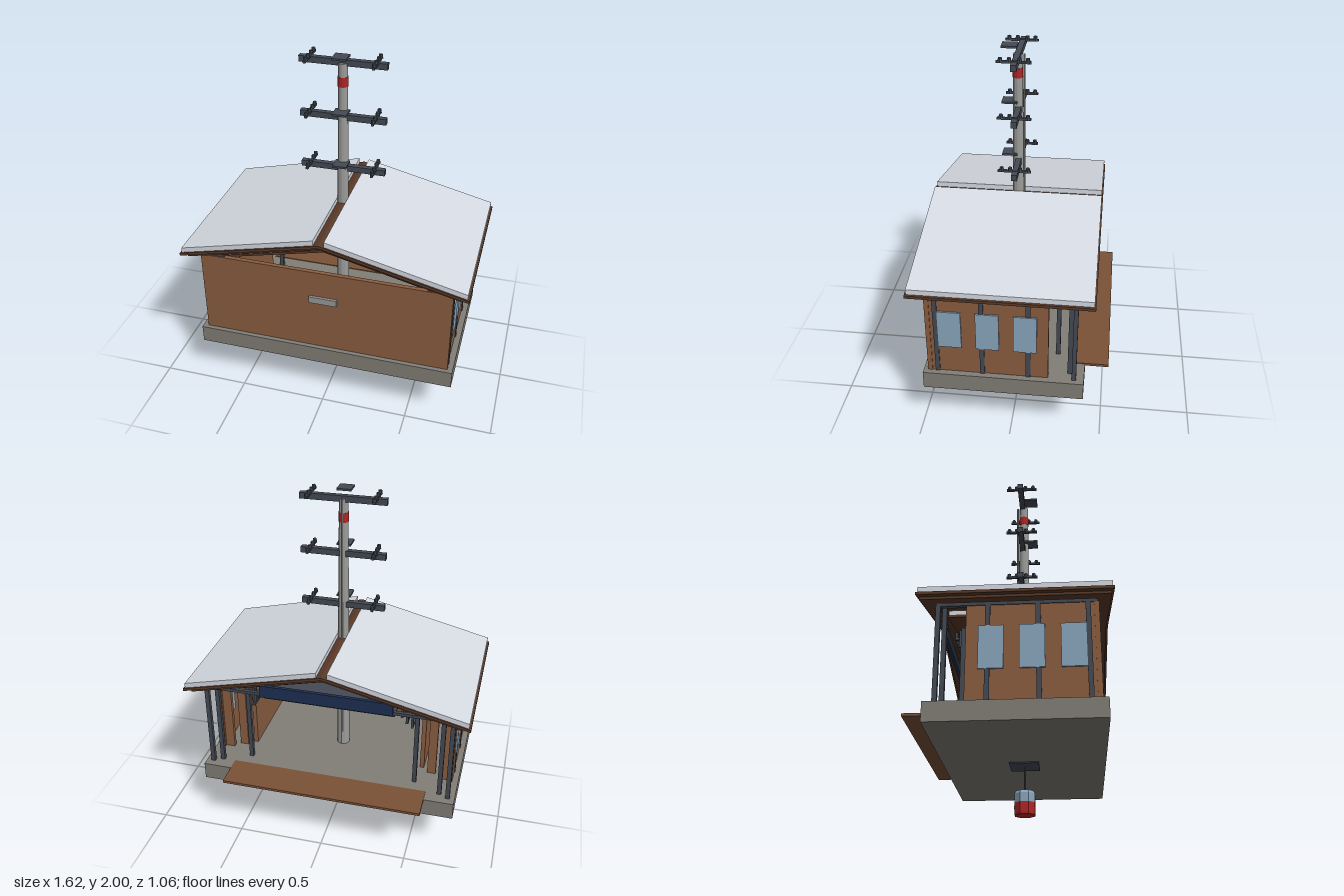
import * as THREE from 'three';

const mat = (color) => new THREE.MeshStandardMaterial({ color, flatShading: true });
const M = {
  concrete: mat(0x827e77), wood: mat(0x8b5e40), deck: mat(0x7a5236), darkWood: mat(0x5a3a28),
  steel: mat(0x444a54), glass: mat(0x8aa6be), panel: mat(0xd8dce4), mast: mat(0x9c9c9a),
  red: mat(0xb02525), navy: mat(0x1e2f52), sign: mat(0x9a9a9c),
};

export function createModel() {
  const root = new THREE.Group();

  const add = (name, geo, m, x, y, z, parent = root) => {
    const mesh = new THREE.Mesh(geo, m);
    mesh.name = name;
    mesh.position.set(x, y, z);
    parent.add(mesh);
    return mesh;
  };
  // Box given by its limits on each axis
  const box = (name, m, [x0, x1], [y0, y1], [z0, z1], parent = root) =>
    add(name, new THREE.BoxGeometry(x1 - x0, y1 - y0, z1 - z0), m,
      (x0 + x1) / 2, (y0 + y1) / 2, (z0 + z1) / 2, parent);
  // Box mirrored to both sides of x = 0
  const pair = (name, m, [x0, x1], y, z) => {
    box(name + 'Left', m, [x0, x1], y, z);
    box(name + 'Right', m, [-x1, -x0], y, z);
  };
  const cyl = (name, m, rTop, rBottom, y0, y1, x, z, sides = 12, parent = root) =>
    add(name, new THREE.CylinderGeometry(rTop, rBottom, y1 - y0, sides), m, x, (y0 + y1) / 2, z, parent);
  // Sloped roof layer on both sides, between x0 and x1, with its top at y0 and y1
  const slope = (name, m, x0, x1, y0, y1, thick, z0, z1) => {
    for (const s of [1, -1]) {
      const shape = new THREE.Shape([
        new THREE.Vector2(s * x0, y0), new THREE.Vector2(s * x1, y1),
        new THREE.Vector2(s * x1, y1 - thick), new THREE.Vector2(s * x0, y0 - thick),
      ]);
      const geo = new THREE.ExtrudeGeometry(shape, { depth: z1 - z0, bevelEnabled: false });
      add(name + (s > 0 ? 'Left' : 'Right'), geo, m, 0, 0, z0);
    }
  };

  // Foundation and rear deck
  box('foundation', M.concrete, [-0.75, 0.75], [0.272, 0.375], [-0.4, 0.48]);
  box('rearDeck', M.deck, [-0.58, 0.58], [0.365, 0.38], [-0.53, -0.33]);

  // Walls
  box('frontWall', M.wood, [-0.72, 0.72], [0.375, 0.89], [0.43, 0.455]);
  pair('sideWall', M.wood, [0.69, 0.715], [0.375, 0.89], [-0.205, 0.43]);
  pair('innerWall', M.wood, [0.51, 0.535], [0.375, 0.87], [-0.11, 0.43]);
  pair('rearPanelInner', M.wood, [0.56, 0.61], [0.375, 0.87], [-0.15, -0.125]);
  pair('rearPanelOuter', M.wood, [0.635, 0.69], [0.375, 0.87], [-0.19, -0.165]);
  box('frontPlaque', M.sign, [-0.08, 0.08], [0.69, 0.73], [0.455, 0.47]);

  // Side windows and columns
  for (const z of [0.325, 0.122, -0.08])
    pair('window', M.glass, [0.685, 0.724], [0.545, 0.775], [z - 0.0625, z + 0.0625]);
  for (const z of [0.4, 0.153, -0.097])
    pair('sideColumn', M.steel, [0.695, 0.721], [0.375, 0.905], [z - 0.0125, z + 0.0125]);

  // Rear posts
  pair('porchPostInner', M.steel, [0.488, 0.512], [0.375, 0.87], [-0.257, -0.233]);
  pair('porchPostMiddle', M.steel, [0.645, 0.67], [0.375, 0.91], [-0.332, -0.308]);
  pair('porchPostOuter', M.steel, [0.697, 0.722], [0.375, 0.91], [-0.358, -0.334]);

  // Top beams
  pair('sideBeam', M.steel, [0.695, 0.72], [0.89, 0.908], [-0.358, 0.44]);
  box('rearBeam', M.steel, [-0.72, 0.72], [0.89, 0.908], [-0.355, -0.335]);
  pair('frontBeam', M.steel, [0.58, 0.72], [0.89, 0.906], [0.43, 0.45]);

  // Main roof: light panels over two dark boards, with an open ridge
  slope('roofPanel', M.panel, 0.03, 0.8, 1.145, 0.96, 0.03, -0.44, 0.522);
  slope('roofBoard', M.darkWood, 0, 0.81, 1.122, 0.928, 0.016, -0.447, 0.53);
  slope('roofRafter', M.darkWood, 0, 0.765, 1.106, 0.922, 0.014, -0.435, 0.518);

  // Lower roof inside the gable
  slope('lowerRoofPanel', M.panel, 0.015, 0.66, 1.052, 0.895, 0.026, -0.3, 0.42);
  slope('lowerRoofBoard', M.darkWood, 0, 0.665, 1.028, 0.869, 0.014, -0.305, 0.425);

  // Rear fascia panel, hanging ceiling plate and pipe frames
  box('rearFascia', M.navy, [-0.38, 0.38], [0.895, 0.97], [-0.375, -0.355]);
  box('ceilingPlate', M.steel, [-0.38, 0.38], [0.84, 0.852], [-0.3, 0.16]);
  [[0.42, 0.85, -0.3], [0.445, 0.795, -0.275], [0.47, 0.745, -0.24]].forEach(([x, y, z]) => {
    pair('pipeRail', M.steel, [x - 0.007, x + 0.007], [y - 0.007, y + 0.007], [z, 0.15]);
    pair('pipeDrop', M.steel, [x - 0.007, x + 0.007], [y, 0.885], [z, z + 0.014]);
  });

  // Tapered mast with red band and side conduit
  const mz = 0.04;
  cyl('mast', M.mast, 0.026, 0.039, 0.375, 1.95, 0, mz);
  cyl('mastBand', M.red, 0.029, 0.029, 1.822, 1.875, 0, mz);
  cyl('mastConduit', M.mast, 0.006, 0.006, 0.375, 1.95, 0, 0.004, 6);

  // Crossarms with insulator bars and a small platform
  for (const y of [1.952, 1.643, 1.335, 1.025]) {
    const arm = new THREE.Group();
    arm.name = 'crossarm';
    arm.position.y = y;
    root.add(arm);
    box('beam', M.steel, [-0.24, 0.24], [-0.017, 0.017], [0.018, 0.05], arm);
    box('platform', M.steel, [-0.04, 0.04], [0.037, 0.048], [0.04, 0.125], arm);
    for (const x of [-0.183, 0.183]) {
      box('insulatorBar', M.steel, [x - 0.007, x + 0.007], [0.008, 0.02], [-0.052, 0.13], arm);
      for (const z of [-0.035, 0.008, 0.062, 0.108])
        cyl('insulator', M.steel, 0.01, 0.013, 0.014, 0.036, x, z, 8, arm);
    }
  }

  // Hanging lantern under the floor
  box('lanternPlate', M.steel, [-0.08, 0.08], [0.266, 0.272], [mz - 0.08, mz + 0.08]);
  cyl('lanternCable', M.steel, 0.005, 0.005, 0.12, 0.27, 0, mz, 8);
  const lantern = (name, m, points) =>
    add(name, new THREE.LatheGeometry(points.map(([r, y]) => new THREE.Vector2(r, y)), 8, Math.PI / 8), m, 0, 0, mz);
  lantern('lanternBase', M.red, [[0, 0], [0.058, 0], [0.06, 0.01], [0.06, 0.066], [0, 0.066]]);
  lantern('lanternTop', M.glass, [[0, 0.066], [0.059, 0.066], [0.059, 0.115], [0.05, 0.13], [0, 0.13]]);
  box('lanternStrip', M.panel, [-0.02, 0.02], [0.035, 0.05], [mz - 0.058, mz - 0.05]);

  return root;
}
